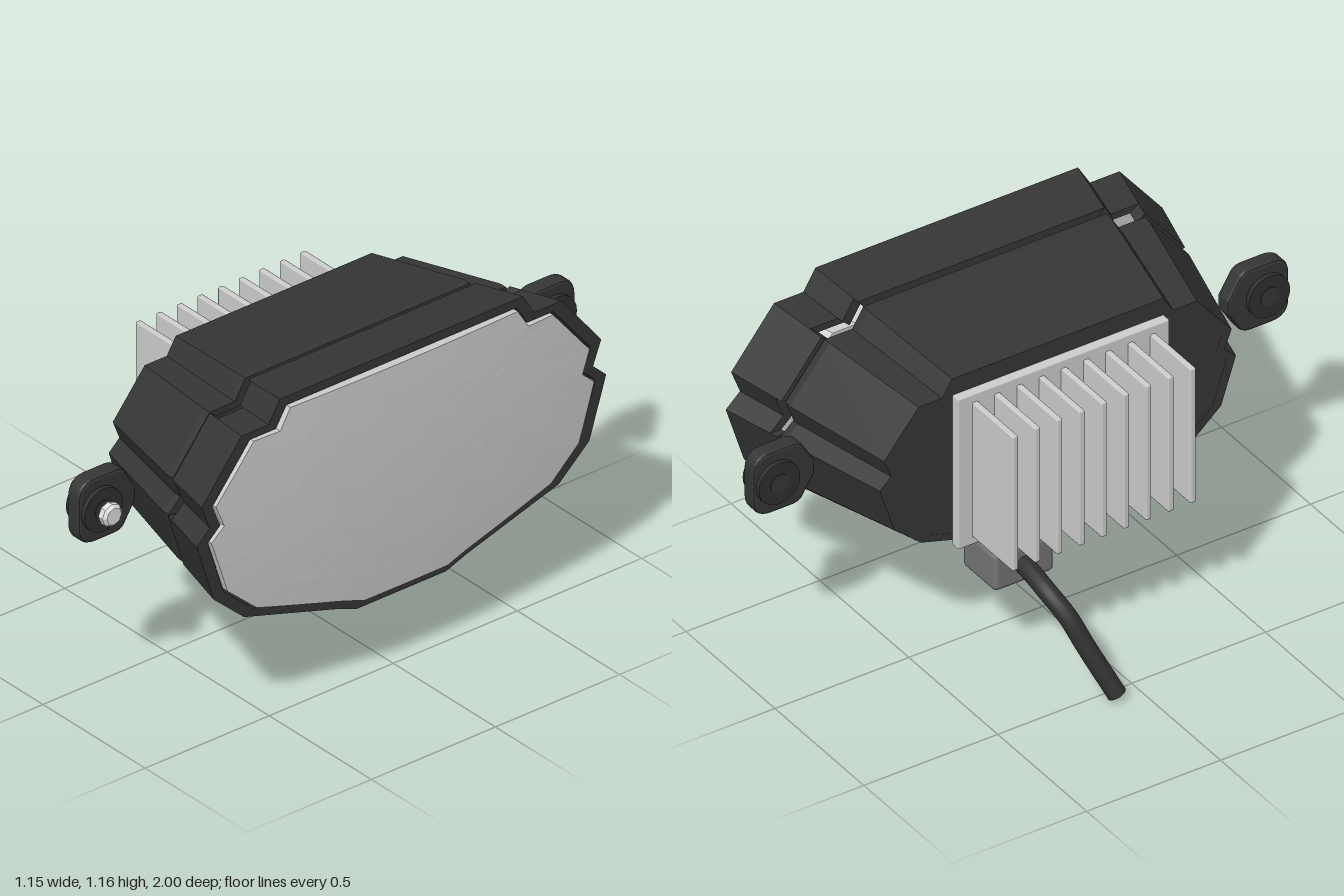
import * as THREE from 'three';
import { RoundedBoxGeometry } from 'three/addons/geometries/RoundedBoxGeometry.js';

const mat = (name, color, side = THREE.FrontSide) =>
  Object.assign(new THREE.MeshStandardMaterial({ color, side }), { name });

// Half outline of the housing mouth (z, y), top to bottom, with the start x of each front panel
const HALF = [
  [0.49, 1.165, 0.365], [0.535, 1.09, 0.385], [0.645, 1.09, 0.335], [0.805, 0.89, 0.36],
  [0.772, 0.805, 0.36], [0.825, 0.755, 0.335], [0.757, 0.54, 0.37], [0.634, 0.43, 0.337],
  [0.26, 0.317, 0.355], [0.18, 0.287, 0.35],
];
const N = HALF.length;
const OUTLINE = [...HALF, ...HALF.slice().reverse().map(([z, y]) => [-z, y])];
const START = OUTLINE.map((_, i) =>
  i < N ? HALF[i][2] : i === 2 * N - 1 ? 0.347 : HALF[2 * N - 2 - i][2]);
const CY = 0.723, FRONT = 0.54, BACK = -0.085;

// Outline point i at depth x; the housing narrows towards the back
function point(i, x, inner = false, taperX = x) {
  const [z, y] = OUTLINE[i % OUTLINE.length];
  const t = (FRONT - taperX) / (FRONT - BACK);
  const kz = (1 - 0.194 * t) * (inner ? 0.947 : 1);
  const ky = (1 - 0.215 * t) * (inner ? 0.93 : 1);
  return [x, CY + (y - CY) * ky, z * kz];
}

function quadGeometry(quads) {
  const g = new THREE.BufferGeometry();
  const pos = quads.flatMap(([a, b, c, d]) => [...a, ...b, ...c, ...a, ...c, ...d]);
  g.setAttribute('position', new THREE.Float32BufferAttribute(pos, 3));
  g.computeVertexNormals();
  return g;
}

// Solid wall panel along outline edge i
function panel(i, x0, x1, taper) {
  const p = (j, x, inner) => point(j, x, inner, taper ?? x);
  const [a0, a1, b0, b1] = [p(i, x0), p(i, x1), p(i + 1, x0), p(i + 1, x1)];
  const [c0, c1, d0, d1] = [p(i, x0, true), p(i, x1, true), p(i + 1, x0, true), p(i + 1, x1, true)];
  return [[a0, b0, b1, a1], [c0, c1, d1, d0], [a1, b1, d1, c1],
    [a0, c0, d0, b0], [a0, a1, c1, c0], [b0, d0, d1, b1]];
}

// Slightly domed lens made from concentric rings, with a short edge wall
function lensGeometry() {
  const rim = [];
  OUTLINE.forEach(([z, y], i) => {
    const [z2, y2] = OUTLINE[(i + 1) % OUTLINE.length];
    const n = Math.max(1, Math.round(Math.hypot(z2 - z, y2 - y) / 0.12));
    for (let k = 0; k < n; k++) {
      rim.push([(z + (z2 - z) * k / n) * 0.935, (y + (y2 - y) * k / n - CY) * 0.918]);
    }
  });
  const dome = (z, y) => 0.575 - 0.028 * (z / 0.77) ** 2 - 0.012 * (y / 0.4) ** 2;
  const quads = [], rings = 5;
  const at = ([z, y], k) => [dome(z * k, y * k), CY + y * k, z * k];
  rim.forEach((a, i) => {
    const b = rim[(i + 1) % rim.length];
    for (let r = 0; r < rings; r++) {
      const k0 = r / rings, k1 = (r + 1) / rings;
      quads.push([at(a, k1), at(b, k1), at(b, k0), at(a, k0)]);
    }
    const back = (p) => [0.525, CY + p[1], p[0]];
    quads.push([back(a), back(b), at(b, 1), at(a, 1)]);
  });
  return quadGeometry(quads);
}

export function createModel() {
  const black = mat('housing black', 0x363636);
  const rubber = mat('rubber black', 0x303030);
  const grey = mat('connector grey', 0x747474);
  const metal = mat('aluminium', 0xcecece);
  const glass = mat('lens grey', 0xcccccc, THREE.DoubleSide);
  const steel = mat('bolt steel', 0xe0e0e0);

  const root = new THREE.Group();
  root.name = 'lamp';
  const add = (name, geo, material, x = 0, y = 0, z = 0, parent = root) => {
    const m = new THREE.Mesh(geo, material);
    m.name = name;
    m.position.set(x, y, z);
    parent.add(m);
    return m;
  };

  // Rear housing with a straight collar, and the separate front bezel
  const edges = OUTLINE.map((_, i) => i);
  add('rearHousing', quadGeometry(edges.flatMap((i) => panel(i, BACK, 0.3))), black);
  add('housingCollar', quadGeometry(edges.flatMap((i) => panel(i, 0.3, 0.326, 0.3))), black);
  add('frontBezel', quadGeometry(edges.flatMap((i) => panel(i, START[i], FRONT))), black);

  // Back wall of the housing
  const wall = new THREE.Shape(edges.map((i) => {
    const [, y, z] = point(i, BACK);
    return new THREE.Vector2(-z * 0.99, CY + (y - CY) * 0.99);
  }));
  add('backWall', new THREE.ExtrudeGeometry(wall, { depth: 0.02, bevelEnabled: false })
    .rotateY(Math.PI / 2), black, BACK + 0.001);

  // Lens and the pale reflector behind it
  add('lens', lensGeometry(), glass);
  const bowl = (i, x, k) => {
    const [, y, z] = point(i, FRONT, true);
    return [x, CY + (y - CY) * k, z * k];
  };
  add('reflector', quadGeometry(edges.map((i) =>
    [bowl(i, 0.39, 0.86), bowl(i + 1, 0.39, 0.86), bowl(i + 1, 0.53, 0.98), bowl(i, 0.53, 0.98)])), glass);

  // Heat sink: base plate and nine fins
  add('heatSinkPlate', new RoundedBoxGeometry(0.036, 0.57, 0.79, 1, 0.005), metal, -0.102, 0.725, 0);
  for (let i = -4; i <= 4; i++) {
    add('heatSinkFin', new RoundedBoxGeometry(0.235, 0.51, 0.021, 1, 0.005), metal, -0.23, 0.725, i * 0.083);
  }

  // Cable connector and cable
  add('connector', new RoundedBoxGeometry(0.185, 0.14, 0.225, 2, 0.018), grey, -0.12, 0.37, -0.208);
  const path = [[-0.2, 0.37, -0.21], [-0.26, 0.36, -0.21], [-0.345, 0.332, -0.205], [-0.41, 0.275, -0.18],
    [-0.465, 0.175, -0.145], [-0.545, 0.022, -0.085]].map((p) => new THREE.Vector3(...p));
  add('cable', new THREE.TubeGeometry(new THREE.CatmullRomCurve3(path), 32, 0.032, 16), rubber);
  const end = add('cableEnd', new THREE.SphereGeometry(0.032, 16, 8).scale(1, 0.3, 1), rubber, -0.545, 0.022, -0.085);
  end.quaternion.setFromUnitVectors(new THREE.Vector3(0, 1, 0),
    path[4].clone().sub(path[5]).normalize());

  // Mounting ears with boss and bolt, one at each end
  const ear = new THREE.Shape();
  ear.moveTo(0.78, 0.745);
  ear.lineTo(0.825, 0.672);
  ear.quadraticCurveTo(0.835, 0.66, 0.86, 0.66);
  ear.lineTo(0.935, 0.66);
  ear.quadraticCurveTo(0.99, 0.66, 0.99, 0.715);
  ear.lineTo(0.99, 0.815);
  ear.quadraticCurveTo(0.99, 0.87, 0.935, 0.87);
  ear.lineTo(0.86, 0.87);
  ear.quadraticCurveTo(0.835, 0.87, 0.825, 0.858);
  ear.lineTo(0.78, 0.785);
  ear.closePath();
  const boltProfile = [[0, -0.02], [0.03, -0.02], [0.04, -0.01], [0.04, 0.01], [0.03, 0.02], [0, 0.02]]
    .map(([r, h]) => new THREE.Vector2(r, h));
  for (const s of [1, -1]) {
    const g = new THREE.Group();
    g.name = s > 0 ? 'leftEar' : 'rightEar';
    root.add(g);
    const slab = new THREE.ExtrudeGeometry(ear, {
      depth: 0.04, bevelThickness: 0.01, bevelSize: 0.01, bevelSegments: 2, curveSegments: 6,
    }).translate(0, 0, -0.02).rotateY(-s * Math.PI / 2);
    add('earPlate', slab, black, 0.148, 0, 0, g);
    const z = s * 0.915;
    add('earBoss', new THREE.CylinderGeometry(0.077, 0.077, 0.092, 24).rotateZ(Math.PI / 2), rubber, 0.148, 0.765, z, g);
    add('earPin', new THREE.CylinderGeometry(0.035, 0.035, 0.098, 16).rotateZ(Math.PI / 2), black, 0.148, 0.765, z, g);
    const bolt = new THREE.LatheGeometry(boltProfile, 8).toNonIndexed();
    bolt.computeVertexNormals();
    add('bolt', bolt.rotateZ(-Math.PI / 2), steel, 0.226, 0.765, z, g);
  }
  return root;
}
